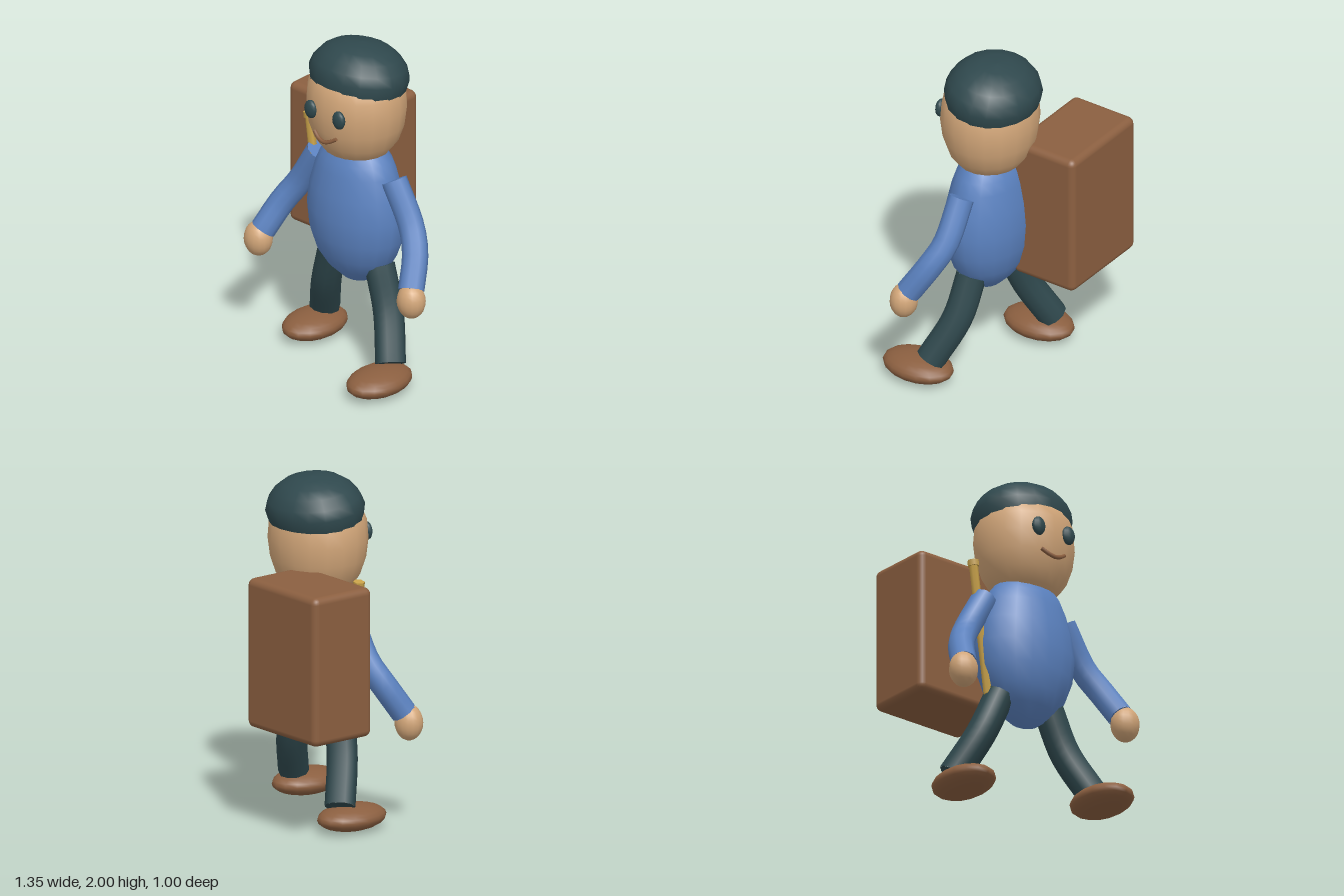
import * as THREE from 'three';
import { RoundedBoxGeometry } from 'three/addons/geometries/RoundedBoxGeometry.js';

const mat = (name, color) => {
  const m = new THREE.MeshStandardMaterial({ color });
  m.name = name;
  return m;
};

export function createModel() {
  const model = new THREE.Group();
  model.name = 'traveller';
  const skin = mat('skin', 0xd2a679);
  const blue = mat('blue cloth', 0x5b82c0);
  const teal = mat('dark teal', 0x2f484d);
  const brown = mat('brown leather', 0x8b5f40);
  const gold = mat('golden wood', 0xc9a24a);
  const v = (x, y, z) => new THREE.Vector3(x, y, z);

  const add = (name, geometry, material, x = 0, y = 0, z = 0, parent = model) => {
    const mesh = new THREE.Mesh(geometry, material);
    mesh.name = name;
    mesh.position.set(x, y, z);
    parent.add(mesh);
    return mesh;
  };
  const ball = (name, material, centre, radii, w = 16, h = 12) => {
    const mesh = add(name, new THREE.SphereGeometry(1, w, h), material, ...centre);
    mesh.scale.set(...radii);
    return mesh;
  };
  const lathe = (name, material, profile, centre, zScale) => {
    const points = profile.map(([r, y]) => new THREE.Vector2(r, y));
    const mesh = add(name, new THREE.LatheGeometry(points, 18), material, ...centre);
    mesh.scale.z = zScale;
    return mesh;
  };
  // Curved limb with flat ends
  const limb = (name, material, points, radius, sides = 10) => {
    const group = new THREE.Group();
    group.name = name;
    model.add(group);
    const curve = new THREE.CatmullRomCurve3(points);
    add(name + 'Tube', new THREE.TubeGeometry(curve, 10, radius, sides), material, 0, 0, 0, group);
    for (const t of [0, 1]) {
      const out = curve.getTangent(t).multiplyScalar(t ? 1 : -1);
      const p = curve.getPoint(t);
      const cap = add(name + 'End', new THREE.CircleGeometry(radius, sides), material, p.x, p.y, p.z, group);
      cap.quaternion.setFromUnitVectors(v(0, 0, 1), out);
    }
  };

  // Torso: egg shape with a flat neck
  lathe('torso', blue, [[0, 0.5], [0.09, 0.535], [0.19, 0.61], [0.26, 0.7], [0.305, 0.82],
    [0.32, 0.96], [0.302, 1.1], [0.265, 1.23], [0.235, 1.3], [0.195, 1.352], [0.19, 1.358], [0, 1.358]],
  [0, 0, 0.053], 0.72);

  // Head
  lathe('head', skin, [[0, 1.315], [0.12, 1.32], [0.195, 1.35], [0.25, 1.42], [0.285, 1.52],
    [0.299, 1.63], [0.29, 1.74], [0.25, 1.83], [0.15, 1.9], [0, 1.93]], [0, 0, 0.052], 0.93);

  // Cap, tipped back
  const cap = lathe('cap', teal, [[0, -0.025], [0.283, -0.025], [0.288, -0.02], [0.305, 0.055], [0.285, 0.115],
    [0.24, 0.17], [0.18, 0.21], [0.1, 0.235], [0, 0.242]], [0, 1.76, 0.038], 0.89);
  cap.rotation.x = -0.14;

  // Face
  for (const s of [1, -1]) ball('eye', teal, [s * 0.108, 1.645, 0.318], [0.044, 0.056, 0.027], 12, 8);
  limb('mouth', brown, [v(-0.083, 1.514, 0.312), v(-0.04, 1.488, 0.325), v(0, 1.478, 0.33),
    v(0.04, 1.488, 0.325), v(0.083, 1.514, 0.312)], 0.012, 6);

  for (const s of [1, -1]) {
    const side = s > 0 ? 'left' : 'right';
    // Arms and hands
    limb(side + 'Arm', blue, [v(s * 0.288, 1.23, 0.05), v(s * 0.43, 0.99, 0.06),
      v(s * 0.51, 0.86, 0.115), v(s * 0.572, 0.69, 0.215)], 0.075);
    ball(side + 'Hand', skin, [s * 0.59, 0.635, 0.235], [0.086, 0.105, 0.08]);

    // Legs in mid-stride, left foot forward
    const ankleZ = s > 0 ? 0.19 : -0.105;
    const kneeZ = s > 0 ? 0.085 : 0.005;
    limb(side + 'Leg', teal, [v(s * 0.18, 0.66, 0.055), v(s * 0.275, 0.41, kneeZ),
      v(s * 0.39, 0.155, ankleZ)], 0.088);
    ball(side + 'Shoe', brown, [s * 0.385, 0.08, s > 0 ? 0.28 : -0.015], [0.155, 0.076, 0.222]);
  }

  // Large pack carried behind the right shoulder
  add('pack', new RoundedBoxGeometry(0.62, 0.875, 0.425, 3, 0.04), brown, -0.34, 1.055, -0.288);

  // Staff with a thicker tip
  const staff = new THREE.Group();
  staff.name = 'staff';
  staff.position.set(-0.315, 1.04, 0.05);
  staff.rotation.z = 0.136;
  model.add(staff);
  add('staffShaft', new THREE.CylinderGeometry(0.026, 0.026, 0.8, 6), gold, 0, 0, 0, staff);
  const tip = add('staffTip', new THREE.CylinderGeometry(0.034, 0.034, 0.035, 6), gold, 0, 0.393, 0, staff);
  tip.rotation.y = Math.PI / 6;
  return model;
}
